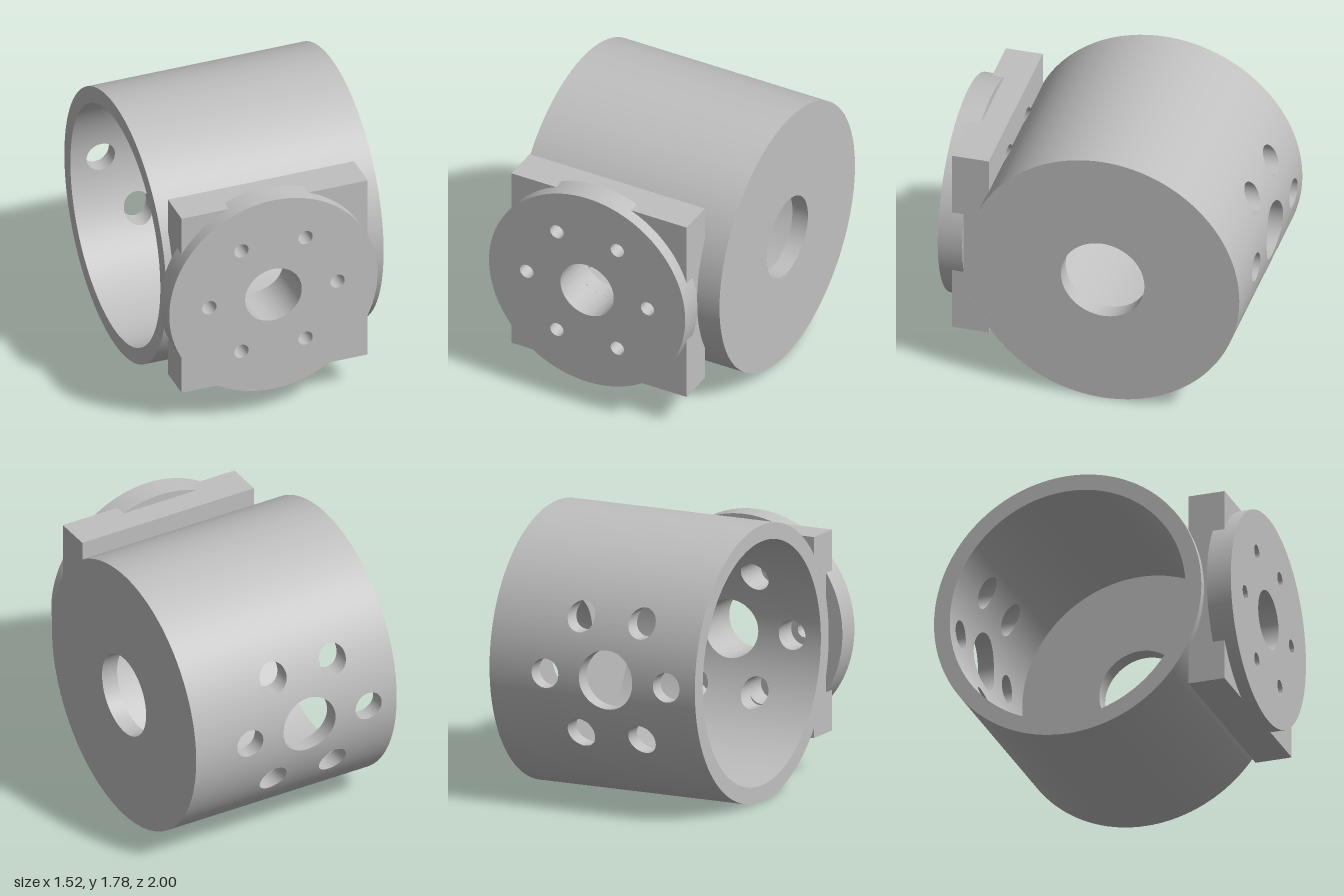
import * as THREE from 'three';
import { toCreasedNormals } from 'three/addons/utils/BufferGeometryUtils.js';

const OUTER = 0.89, INNER = 0.785, BORE = 0.272;
const OPEN_X = -0.70, CAP_X = 0.76, CAP_IN_X = 0.65;
const HOLE_X = -0.065, CIRCLE = 0.431;

// Bolt pattern: one centre hole and six around it
function pattern(boltRadius) {
  const holes = [{ x: HOLE_X, y: 0, r: 0.19 }];
  for (let k = 0; k < 6; k++) {
    const a = k * Math.PI / 3;
    holes.push({ x: HOLE_X + CIRCLE * Math.cos(a), y: CIRCLE * Math.sin(a), r: boltRadius });
  }
  return holes;
}

const depthAt = (R, y) => Math.sqrt(Math.max(0, R * R - y * y));

// Cylinder wall along x, built in horizontal strips that stop at the hole edges.
// dir is 1 for an outward surface and -1 for an inward one.
function piercedWall(R, x0, x1, holes, dir) {
  const levels = [];
  for (let i = 0; i <= 64; i++) levels.push(R * Math.sin((i / 64 - 0.5) * Math.PI));
  for (const h of holes)
    for (let i = 0; i <= 24; i++) levels.push(h.y - h.r * Math.cos(i / 24 * Math.PI));
  levels.sort((a, b) => a - b);

  const pos = [], nor = [];
  for (const side of [1, -1]) {
    const put = (x, y) => {
      const z = side * depthAt(R, y);
      pos.push(x, y, z);
      nor.push(0, dir * y / R, dir * z / R);
    };
    for (let i = 0; i + 1 < levels.length; i++) {
      const a = levels[i], b = levels[i + 1];
      if (b - a < 1e-6) continue;
      const mid = (a + b) / 2;
      const cut = holes.filter(h => Math.abs(mid - h.y) < h.r).sort((p, q) => p.x - q.x);
      const edges = y => [x0, ...cut.flatMap(h => {
        const w = depthAt(h.r, y - h.y);
        return [h.x - w, h.x + w];
      }), x1];
      const lo = edges(a), hi = edges(b);
      for (let k = 0; k < lo.length; k += 2) {
        const quad = [[lo[k], a], [lo[k + 1], a], [hi[k + 1], b], [hi[k], b]];
        const order = side * dir > 0 ? [0, 1, 2, 0, 2, 3] : [0, 2, 1, 0, 3, 2];
        for (const n of order) put(...quad[n]);
      }
    }
  }
  const g = new THREE.BufferGeometry();
  g.setAttribute('position', new THREE.Float32BufferAttribute(pos, 3));
  g.setAttribute('normal', new THREE.Float32BufferAttribute(nor, 3));
  return g;
}

// Side of one hole, running from the inner to the outer wall surface
function holeSide(h, side) {
  const g = new THREE.CylinderGeometry(h.r, h.r, 1, 48, 1, true).rotateX(Math.PI / 2);
  const p = g.attributes.position;
  for (let i = 0; i < p.count; i++) {
    const y = p.getY(i) + h.y;
    const R = p.getZ(i) * side > 0 ? OUTER : INNER;
    p.setXYZ(i, p.getX(i) + h.x, y, side * depthAt(R, y));
  }
  return g;
}

// Flat plate facing z with the bolt pattern cut through it
function drilledPlate(shape, holes, z0, z1) {
  for (const h of holes) {
    shape.holes.push(new THREE.Path().absarc(h.x, h.y, h.r, 0, Math.PI * 2, true));
  }
  const g = new THREE.ExtrudeGeometry(shape, { depth: z1 - z0, bevelEnabled: false, curveSegments: 48 });
  g.translate(0, 0, z0);
  return toCreasedNormals(g, Math.PI / 6);
}

export function createModel() {
  const model = new THREE.Group();
  const grey = new THREE.MeshStandardMaterial({ color: 0xc0c0c0, side: THREE.DoubleSide });
  grey.name = 'light grey';
  const add = (parent, name, geometry) => {
    const mesh = new THREE.Mesh(geometry, grey);
    mesh.name = name;
    parent.add(mesh);
  };

  // Hollow drum, open at -x
  const drum = new THREE.Group();
  drum.name = 'drum';
  drum.position.set(0, OUTER, -0.11);
  model.add(drum);
  const wallHoles = pattern(0.095);
  add(drum, 'outerWall', piercedWall(OUTER, OPEN_X, CAP_X, wallHoles, 1));
  add(drum, 'innerWall', piercedWall(INNER, OPEN_X, CAP_IN_X, wallHoles, -1));
  for (const side of [1, -1])
    for (const h of wallHoles) add(drum, side > 0 ? 'frontHole' : 'backHole', holeSide(h, side));

  // Open rim, end cap faces and the bore through the cap
  const ring = (name, r0, r1, x, facing) =>
    add(drum, name, new THREE.RingGeometry(r0, r1, 128).rotateY(facing * Math.PI / 2).translate(x, 0, 0));
  ring('openRim', INNER, OUTER, OPEN_X, -1);
  ring('capOuterFace', BORE, OUTER, CAP_X, 1);
  ring('capInnerFace', BORE, INNER, CAP_IN_X, -1);
  add(drum, 'capBore', new THREE.CylinderGeometry(BORE, BORE, CAP_X - CAP_IN_X, 64, 1, true)
    .rotateZ(Math.PI / 2).translate((CAP_X + CAP_IN_X) / 2, 0, 0));

  // Square mounting block and round flange on the front
  const mount = new THREE.Group();
  mount.name = 'mount';
  mount.position.y = OUTER;
  model.add(mount);
  const square = new THREE.Shape([[-0.65, -0.647], [0.6, -0.647], [0.6, 0.647], [-0.65, 0.647]]
    .map(([x, y]) => new THREE.Vector2(x, y)));
  add(mount, 'mountingBlock', drilledPlate(square, pattern(0.095), 0.677, 0.917));
  const disc = new THREE.Shape().absarc(HOLE_X, 0, 0.70, 0, Math.PI * 2);
  add(mount, 'flange', drilledPlate(disc, pattern(0.048), 0.84, 1.0));

  return model;
}
